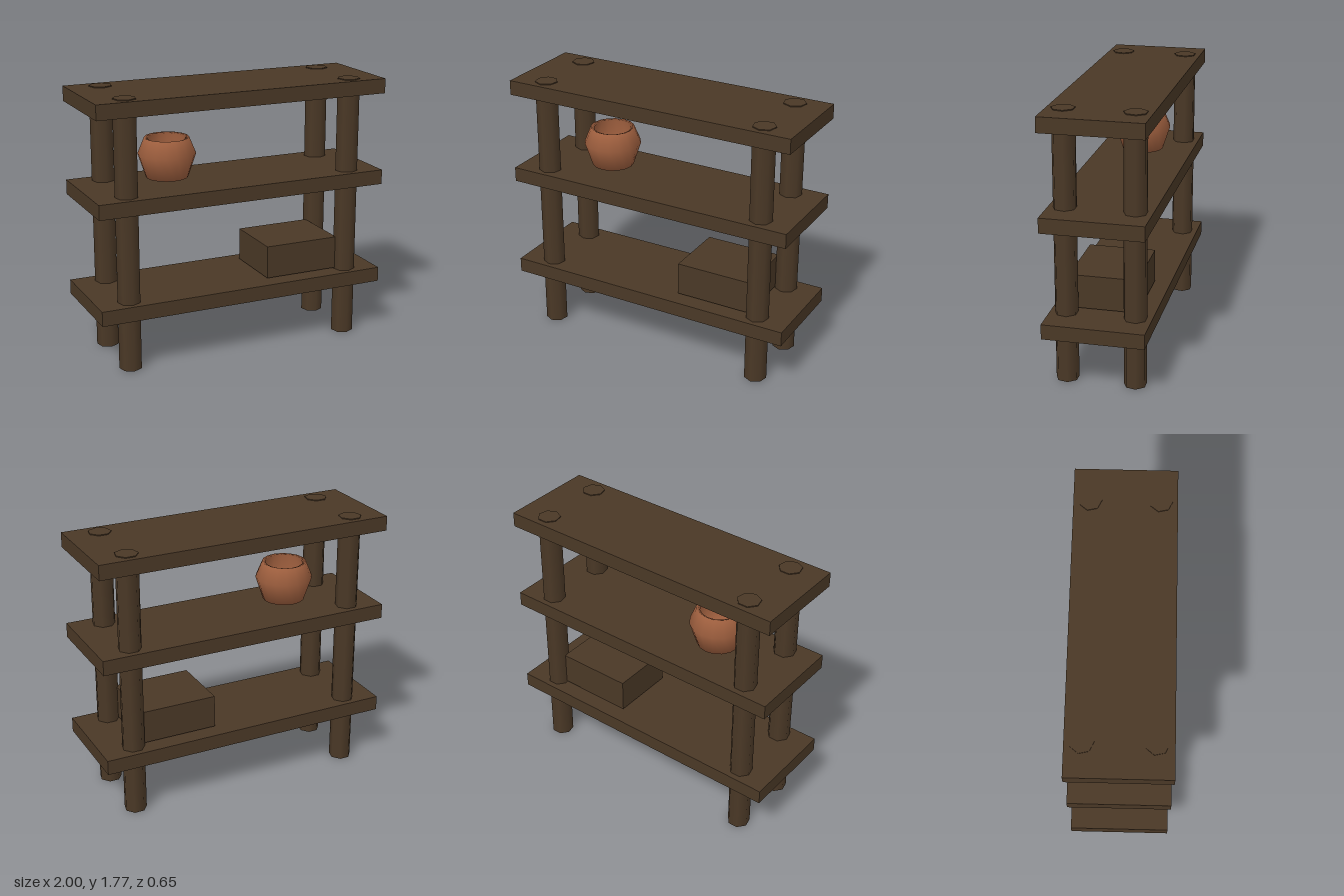
import * as THREE from 'three';

export function createModel() {
  const group = new THREE.Group();
  const wood = new THREE.MeshStandardMaterial({ color: 0x4a3826 });
  wood.name = 'dark wood';
  const clay = new THREE.MeshStandardMaterial({ color: 0xa0603f });
  clay.name = 'terracotta';

  const add = (name, geometry, material, x, y, z) => {
    const mesh = new THREE.Mesh(geometry, material);
    mesh.name = name;
    mesh.position.set(x, y, z);
    group.add(mesh);
  };

  // Three identical boards
  const board = new THREE.BoxGeometry(2, 0.098, 0.65);
  ['lowerShelf', 'middleShelf', 'topShelf'].forEach((name, i) =>
    add(name, board, wood, 0, [0.404, 1.098, 1.718][i], 0));

  // Four seven-sided posts, just proud of the top board
  const post = new THREE.CylinderGeometry(0.0745, 0.0745, 1.773, 7);
  for (const x of [-0.782, 0.782])
    for (const z of [-0.22, 0.22])
      add((z > 0 ? 'front' : 'back') + (x > 0 ? 'Left' : 'Right') + 'Post', post, wood, x, 0.8865, z);

  // Storage box on the lower shelf
  add('storageBox', new THREE.BoxGeometry(0.52, 0.22, 0.44), wood, 0.46, 0.571, 0);

  // Hollow pot on the middle shelf: outer wall, rim, inner wall
  const profile = [
    [0, 0], [0.138, 0.028], [0.189, 0.183], [0.145, 0.29],
    [0.122, 0.282], [0.155, 0.183], [0.115, 0.06], [0, 0.04],
  ].map(([r, y]) => new THREE.Vector2(r, y));
  add('clayPot', new THREE.LatheGeometry(profile, 16), clay, -0.422, 1.157, 0);

  return group;
}
